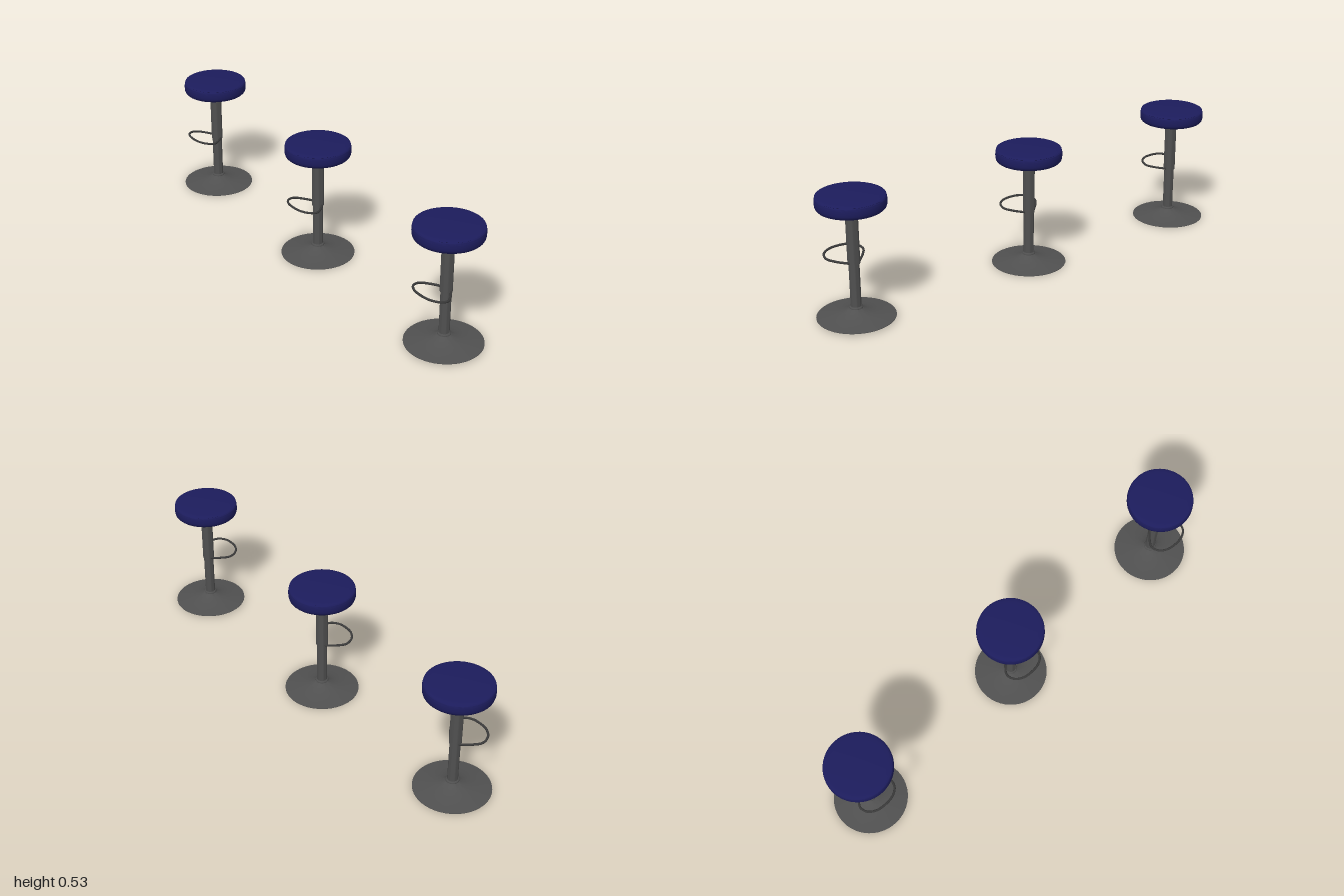
import * as THREE from 'three';
import { toCreasedNormals } from 'three/addons/utils/BufferGeometryUtils.js';

const metal = new THREE.MeshStandardMaterial({ color: 0x505050 });
const darkMetal = new THREE.MeshStandardMaterial({ color: 0x3a3a3a });
const cushion = new THREE.MeshStandardMaterial({ color: 0x1c1c5c });

// Revolve a [radius, height] profile listed from bottom to top
function lathe(name, profile, material) {
  const points = profile.map(([r, y]) => new THREE.Vector2(r, y));
  const geometry = toCreasedNormals(new THREE.LatheGeometry(points, 48), 0.6);
  const mesh = new THREE.Mesh(geometry, material);
  mesh.name = name;
  return mesh;
}

function createStool() {
  const stool = new THREE.Group();

  // Trumpet-shaped foot with a thin rim
  stool.add(lathe('base', [
    [0, 0], [0.158, 0], [0.158, 0.002], [0.145, 0.004], [0.115, 0.008], [0.084, 0.0135],
    [0.06, 0.02], [0.045, 0.026], [0.034, 0.032], [0.028, 0.037], [0, 0.037],
  ], metal));

  // Collar where the column leaves the foot
  stool.add(lathe('baseCollar', [
    [0.027, 0.033], [0.0275, 0.037], [0.0265, 0.042], [0.0235, 0.045], [0.02, 0.045],
  ], metal));

  // Telescoping column, the upper sleeve slightly wider
  stool.add(lathe('lowerColumn', [[0.0215, 0.03], [0.0215, 0.24]], metal));
  stool.add(lathe('upperColumn', [[0.02, 0.228], [0.025, 0.228], [0.025, 0.464]], metal));

  // Mounting plate under the seat
  stool.add(lathe('seatPlate', [[0, 0.459], [0.036, 0.459], [0.036, 0.466], [0, 0.466]], darkMetal));

  // Padded seat: rounded sides, a seam groove and a gently domed top
  stool.add(lathe('seat', [
    [0, 0.462], [0.125, 0.462], [0.132, 0.464], [0.137, 0.469], [0.1395, 0.478],
    [0.14, 0.488], [0.1395, 0.5], [0.138, 0.508], [0.135, 0.511], [0.137, 0.5125],
    [0.136, 0.514], [0.128, 0.516], [0.112, 0.518], [0, 0.5185],
  ], cushion));

  // Teardrop foot rest, its two ends fixed to the sides of the column
  const half = [[0.002, 0.026], [-0.03, 0.06], [-0.065, 0.083], [-0.1, 0.074], [-0.123, 0.042]];
  const outline = [...half, [-0.129, 0], ...half.map(([x, z]) => [x, -z]).reverse()];
  const path = new THREE.CatmullRomCurve3(
    outline.map(([x, z]) => new THREE.Vector3(x, 0.234 - x * 0.165, z)));
  const rest = new THREE.Mesh(new THREE.TubeGeometry(path, 64, 0.0048, 10), darkMetal);
  rest.name = 'footRest';
  stool.add(rest);
  for (const side of [-1, 1]) {
    const cap = new THREE.Mesh(new THREE.SphereGeometry(0.0048, 10, 8), darkMetal);
    cap.position.set(0.002, 0.2337, side * 0.026);
    cap.name = 'footRestEnd';
    stool.add(cap);
  }
  return stool;
}

export function createModel() {
  const model = new THREE.Group();
  model.name = 'barStools';
  // Row of three stools, placed slightly unevenly
  const places = [
    ['frontStool', -0.006, 0.007, 0.842],
    ['middleStool', 0.004, 0, -0.018],
    ['backStool', 0.004, 0, -0.842],
  ];
  for (const [name, x, y, z] of places) {
    const stool = createStool();
    stool.name = name;
    stool.position.set(x, y, z);
    model.add(stool);
  }
  return model;
}
